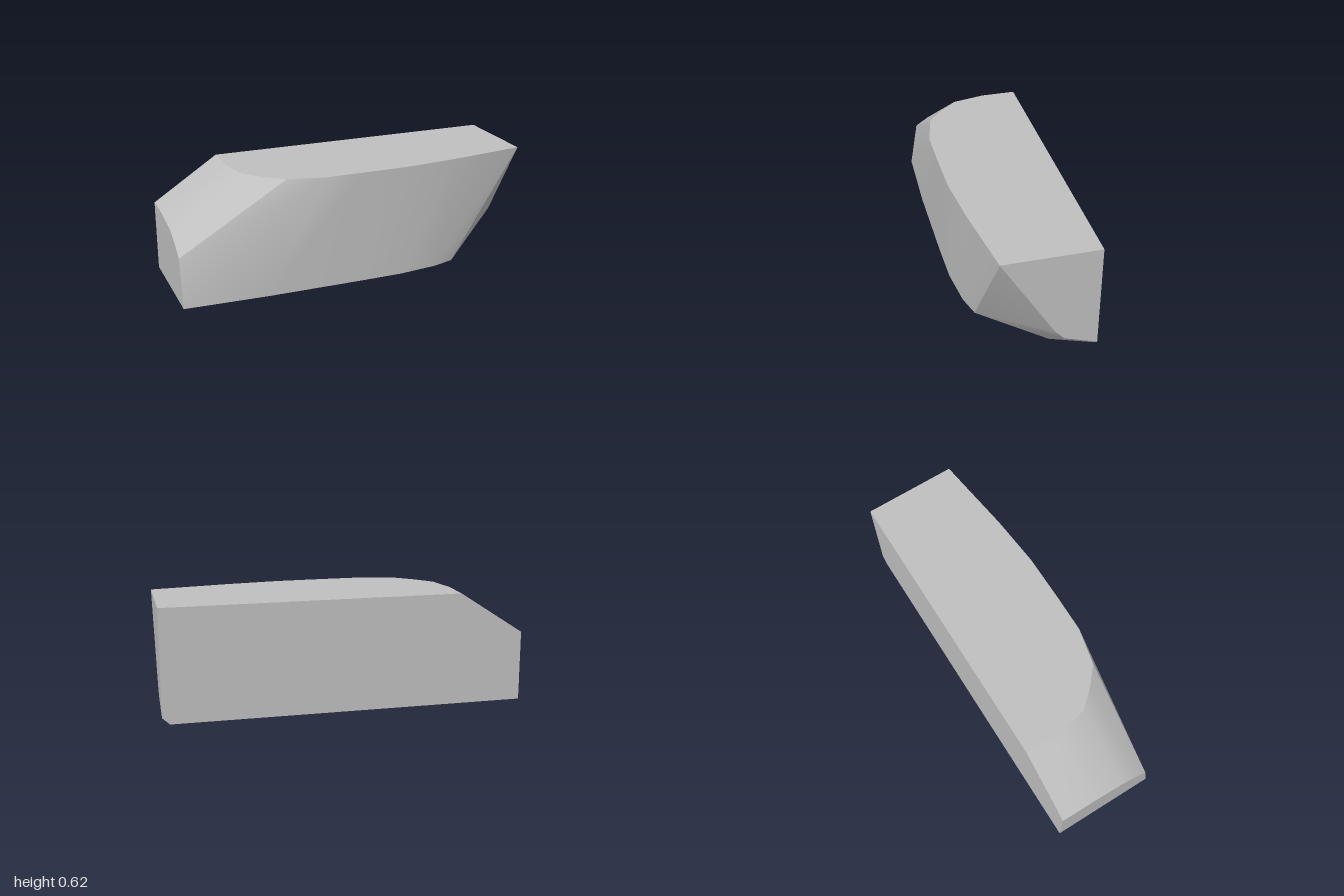
import * as THREE from 'three';
import { ConvexGeometry } from 'three/addons/geometries/ConvexGeometry.js';
import { toCreasedNormals } from 'three/addons/utils/BufferGeometryUtils.js';

const HEIGHT = 0.625;
const BACK = -0.303;

// Turns [a, b] pairs into points on one flat section.
const section = (pairs, place) => pairs.map(([a, b]) => place(a, b));

export function createModel() {
  const gray = new THREE.MeshStandardMaterial({ color: 0xbfbfbf });
  gray.name = 'plain gray';

  // Underside outline (x, z), swept back in a curve at the left end
  const underside = section([
    [-1, BACK], [-1, 0.284], [-0.54, 0.301], [0, 0.303], [0.24, 0.3],
    [0.46, 0.274], [0.584, 0.237], [0.877, -0.084], [0.96, BACK],
  ], (x, z) => new THREE.Vector3(x, 0, z));

  // Top outline (x, z), rounded towards the bevelled right end
  const top = section([
    [-0.64, BACK], [-0.64, -0.11], [-0.603, 0.07], [-0.52, 0.165], [-0.415, 0.255],
    [-0.21, 0.301], [0, 0.303], [0.27, 0.301], [0.56, 0.273], [1, 0.211],
    [1, BACK],
  ], (x, z) => new THREE.Vector3(x, HEIGHT, z));

  // Right end face (z, y), below the sloping bevel
  const rightEnd = section([
    [BACK, 0.39], [-0.11, 0.387], [0.08, 0.358], [0.165, 0.316], [0.24, 0.266],
  ], (z, y) => new THREE.Vector3(-1, y, z));

  // Left end face (z, y), above the undercut
  const leftEnd = section([
    [-0.075, 0.157], [-0.125, 0.102], [BACK, 0.038],
  ], (z, y) => new THREE.Vector3(1, y, z));

  // One closed block through the four sections, sharp only at real edges
  const hull = new ConvexGeometry([...underside, ...top, ...rightEnd, ...leftEnd]);
  const block = new THREE.Mesh(toCreasedNormals(hull, 0.5), gray);
  block.name = 'bevelledBlock';

  const group = new THREE.Group();
  group.name = 'block';
  group.add(block);
  return group;
}
